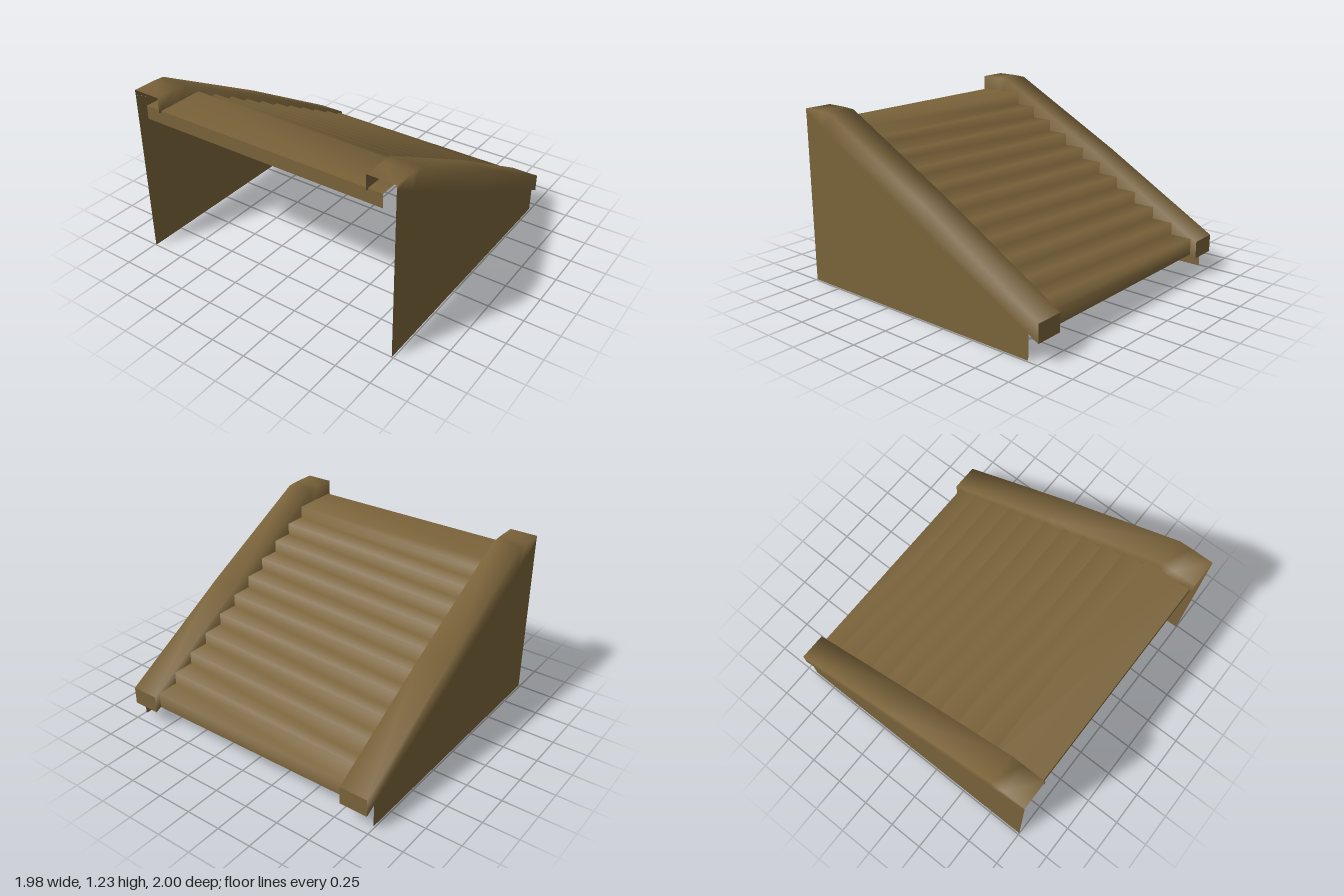
import * as THREE from 'three';

const wood = new THREE.MeshStandardMaterial({ color: 0x7a633a, side: THREE.DoubleSide });
wood.name = 'brownWood';

// Smooth-shaded sheet through rows of points (each row [x, y, z] points)
function sheet(name, rows) {
  const n = rows[0].length, index = [];
  for (let i = 0; i < rows.length - 1; i++) {
    for (let j = 0; j < n - 1; j++) {
      const a = i * n + j, b = a + 1, c = a + n, d = c + 1;
      index.push(a, b, c, b, d, c);
    }
  }
  const g = new THREE.BufferGeometry();
  g.setAttribute('position', new THREE.Float32BufferAttribute(rows.flat(2), 3));
  g.setIndex(index);
  g.computeVertexNormals();
  const mesh = new THREE.Mesh(g, wood);
  mesh.name = name;
  return mesh;
}

export function createModel() {
  const model = new THREE.Group();
  model.name = 'staircase';

  // Folded steps: a riser then a tread, repeated up toward the front
  const STEPS = 11, RUN = 0.1595, RISE = 0.086;
  const across = (y, z) => [[0.89, y, z], [-0.92, y, z]];
  const rows = [across(0.15, -0.955)];
  for (let k = 0; k < STEPS; k++) {
    const y = 0.265 + RISE * k;
    const z = -0.955 + RUN * k;
    rows.push(across(y, z));
    rows.push(across(y, k === STEPS - 1 ? 0.98 : z + RUN));
  }
  model.add(sheet('steps', rows));

  // Short lip hanging from the front of the top landing
  model.add(sheet('landingLip', [across(1.125, 0.98), across(1.03, 0.98)]));

  // Rail stations: z, top, outer lower edge, inner lower edge
  const stations = [
    [-1, 0.255, 0.13, 0.13],
    [-0.13, 0.755, 0.58, 0.57],
    [0.75, 1.22, 1.055, 1.03],
    [0.84, 1.226, 1.105, 1.07],
    [1, 1.226, 1.19, 1.12],
  ];

  for (const [side, s] of [['left', 1], ['right', -1]]) {
    // Mirroring keeps the faces outward by reversing each row
    const mirror = (list) => list.map((row) => {
      const r = row.map(([x, y, z]) => [x * s, y, z]);
      return s > 0 ? r : r.reverse();
    });

    // Sloping rail, open underneath and at the front
    const rail = mirror(stations.map(([z, top, outer, inner]) => [
      [0.99, outer, z], [0.99, top, z], [0.79, top, z], [0.79, inner, z],
    ]));
    model.add(sheet(side + 'Rail', rail));

    // Closed foot of the rail
    const foot = mirror([
      [[0.99, 0.13, -1], [0.79, 0.13, -1]],
      [[0.99, 0.255, -1], [0.79, 0.255, -1]],
    ]);
    model.add(sheet(side + 'RailFoot', foot));

    // Thin side wall down to the ground
    const wall = mirror([
      [[0.989, 0, -0.925], [0.989, 0.17, -0.925]],
      [[0.989, 0, 1], [0.989, 1.19, 1]],
    ]);
    model.add(sheet(side + 'Wall', wall));
  }
  return model;
}
